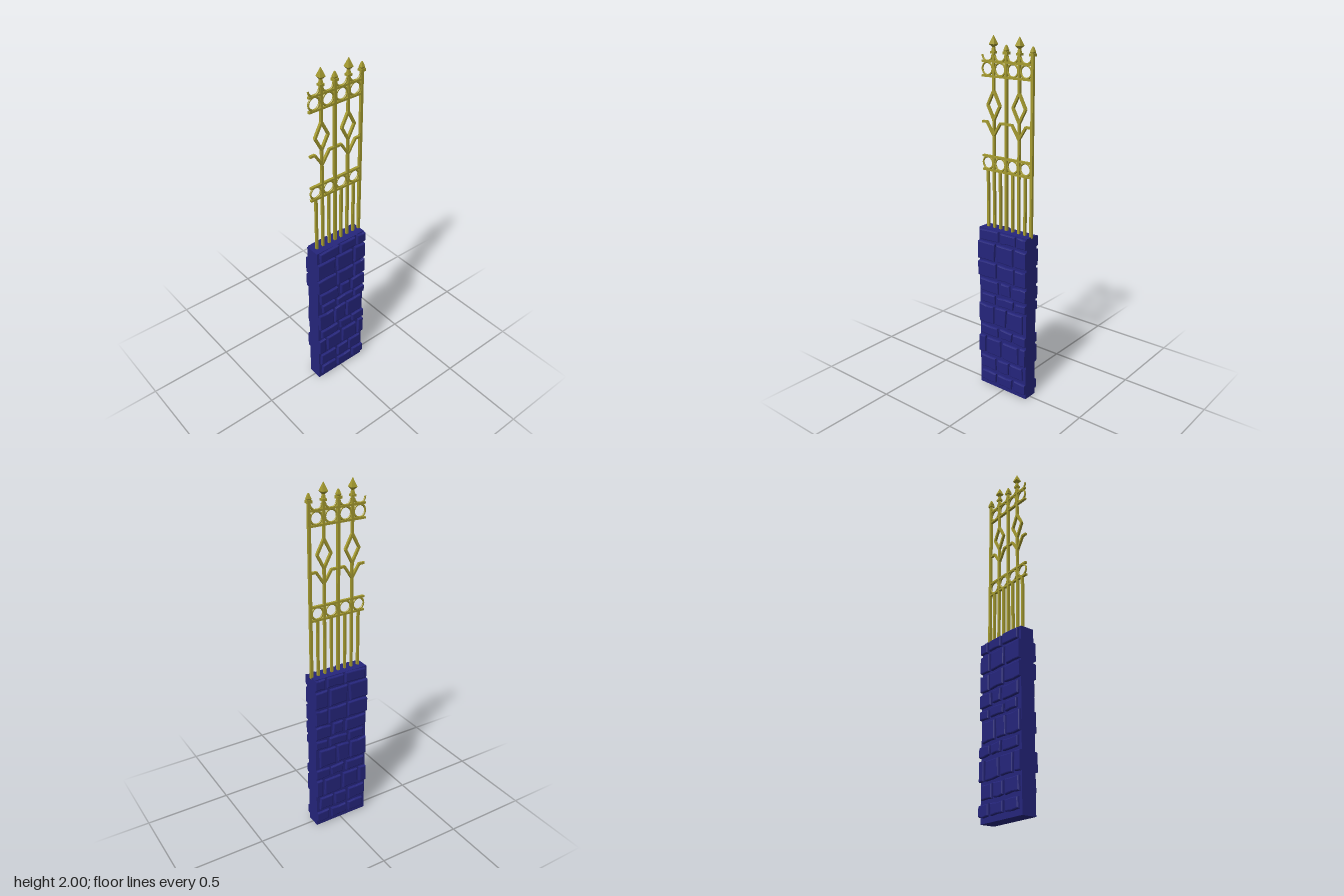
import * as THREE from 'three';

const LEFT = -0.17, RIGHT = 0.16, ZC = -0.002;
const CORE = 0.042; // half depth of the wall core

export function createModel() {
  const model = new THREE.Group();
  model.name = 'fenceSection';
  const stoneMat = new THREE.MeshStandardMaterial({ color: 0x25257c, flatShading: true });
  const metalMat = new THREE.MeshStandardMaterial({ color: 0xa59b30, flatShading: true });

  let seed = 7;
  const jitter = (a) => {
    seed = (seed * 16807) % 2147483647;
    return (seed / 2147483647 - 0.5) * 2 * a;
  };
  const add = (parent, name, geo, mat, x = 0, y = 0, z = 0) => {
    const m = new THREE.Mesh(geo, mat);
    m.name = name;
    m.position.set(x, y, z);
    parent.add(m);
    return m;
  };

  // Wall core
  const wall = new THREE.Group();
  wall.name = 'stoneWall';
  wall.position.z = ZC;
  model.add(wall);
  add(wall, 'wallCore', new THREE.BoxGeometry(RIGHT - LEFT, 0.972, CORE * 2), stoneMat, (LEFT + RIGHT) / 2, 0.486);

  // Stone courses: bottom, top, then left/right edges of each stone
  const L = LEFT - 0.02, R = RIGHT + 0.02;
  const courses = [
    [0.03, 0.09, -0.15, -0.05, -0.035, 0.065, 0.08, R],
    [0.115, 0.19, -0.16, -0.05, -0.036, 0.042, 0.057, 0.14],
    [0.21, 0.312, L, -0.125, -0.11, -0.014, 0.0, 0.107, 0.122, R],
    [0.335, 0.388, -0.155, -0.032, -0.012, 0.064, 0.078, R],
    [0.408, 0.515, -0.165, -0.067, -0.053, 0.022, 0.037, 0.14],
    [0.534, 0.582, -0.145, -0.053, -0.037, 0.075, 0.09, R],
    [0.603, 0.672, -0.155, -0.032, -0.012, 0.053, 0.073, R],
    [0.69, 0.778, L, -0.046, -0.03, 0.074, 0.09, R],
    [0.794, 0.893, L, -0.056, -0.04, 0.07, 0.085, R],
    [0.91, 0.968, -0.153, -0.03, -0.016, 0.086, 0.1, R],
  ];
  const bevel = 0.006;
  for (const [y0, y1, ...xs] of courses) {
    for (let i = 0; i < xs.length; i += 2) {
      const j = () => jitter(0.004);
      const [x0, x1] = [xs[i], xs[i + 1]];
      const shape = new THREE.Shape([
        [x0 + j(), y0 + j()], [(x0 + x1) / 2, y0 + j()], [x1 + j(), y0 + j()],
        [x1 + j(), y1 + j()], [(x0 + x1) / 2, y1 + j()], [x0 + j(), y1 + j()],
      ].map(([x, y]) => new THREE.Vector2(x, Math.min(y, 0.972))));
      const geo = new THREE.ExtrudeGeometry(shape, {
        depth: 0.016, bevelThickness: bevel, bevelSize: bevel, bevelOffset: -bevel, bevelSegments: 2,
      });
      // Cut the stones flush with the wall ends
      const p = geo.attributes.position;
      for (let k = 0; k < p.count; k++) p.setX(k, THREE.MathUtils.clamp(p.getX(k), LEFT, RIGHT));
      geo.computeVertexNormals();
      add(wall, 'frontStone', geo, stoneMat, 0, 0, 0.035);
      // Mirrored copy with reversed winding for the rear face
      const back = geo.clone().scale(1, 1, -1);
      const q = back.attributes.position;
      const a = new THREE.Vector3(), b = new THREE.Vector3();
      for (let k = 0; k < q.count; k += 3) {
        a.fromBufferAttribute(q, k + 1);
        b.fromBufferAttribute(q, k + 2);
        q.setXYZ(k + 1, b.x, b.y, b.z);
        q.setXYZ(k + 2, a.x, a.y, a.z);
      }
      back.computeVertexNormals();
      add(wall, 'backStone', back, stoneMat, 0, 0, -0.035);
    }
  }

  // Metal railing
  const fence = new THREE.Group();
  fence.name = 'railing';
  fence.position.z = ZC;
  model.add(fence);
  const bar = (name, x0, y0, x1, y1, w = 0.013, d = 0.014, z = 0) => {
    const len = Math.hypot(x1 - x0, y1 - y0);
    const m = add(fence, name, new THREE.BoxGeometry(w, len, d), metalMat, (x0 + x1) / 2, (y0 + y1) / 2, z);
    m.rotation.z = Math.atan2(-(x1 - x0), y1 - y0);
  };
  // Four-sided tapered piece aligned with the axes
  const taper = (name, x, y0, y1, r0, r1) => {
    const g = new THREE.CylinderGeometry(r1 * Math.SQRT2, r0 * Math.SQRT2, y1 - y0, 4);
    g.rotateY(Math.PI / 4);
    add(fence, name, g, metalMat, x, (y0 + y1) / 2);
  };

  const plainX = [-0.012, 0.155], spearX = [-0.095, 0.072];
  const ringX = [-0.137, -0.053, 0.03, 0.114];

  // Horizontal rails
  for (const y of [1.295, 1.37, 1.793, 1.868]) bar('rail', LEFT, y, 0.158, y, 0.011, 0.015);

  // Short bars, rings and the cups above the top rail
  for (const x of ringX) {
    bar('shortBar', x, 0.965, x, 1.295);
    for (const y of [1.333, 1.83]) add(fence, 'ring', new THREE.TorusGeometry(0.033, 0.0055, 6, 20), metalMat, x, y);
    const cup = add(fence, 'cup', new THREE.TorusGeometry(0.033, 0.0055, 6, 12, Math.PI), metalMat, x, 1.902);
    cup.rotation.z = Math.PI;
  }

  // Full-height posts with small square finials
  for (const x of plainX) {
    bar('post', x, 0.965, x, 1.915, 0.015, 0.015);
    taper('collar', x, 1.908, 1.922, 0.014, 0.014);
    taper('finialBase', x, 1.922, 1.93, 0.009, 0.011);
    taper('finialTip', x, 1.93, 1.955, 0.011, 0.003);
  }

  // Spear posts with diamond, branches and pointed finial
  for (const x of spearX) {
    bar('lowerPost', x, 0.965, x, 1.575);
    bar('upperPost', x, 1.715, x, 1.925);
    for (const s of [-1, 1]) {
      bar('diamondSide', x, 1.568, x + s * 0.041, 1.645);
      bar('diamondSide', x + s * 0.041, 1.643, x, 1.721);
      bar('branch', x, 1.485, x + s * 0.046, 1.556, 0.012, 0.014, 0.002);
      bar('branchArm', x + s * 0.043, 1.554, Math.max(x + s * 0.083, LEFT), 1.554, 0.012, 0.014, 0.001);
    }
    taper('collar', x, 1.908, 1.92, 0.013, 0.013);
    taper('spearNeck', x, 1.92, 1.945, 0.009, 0.005);
    taper('spearBase', x, 1.94, 1.955, 0.005, 0.017);
    taper('spearTip', x, 1.955, 2.0, 0.017, 0.0005);
  }

  return model;
}
